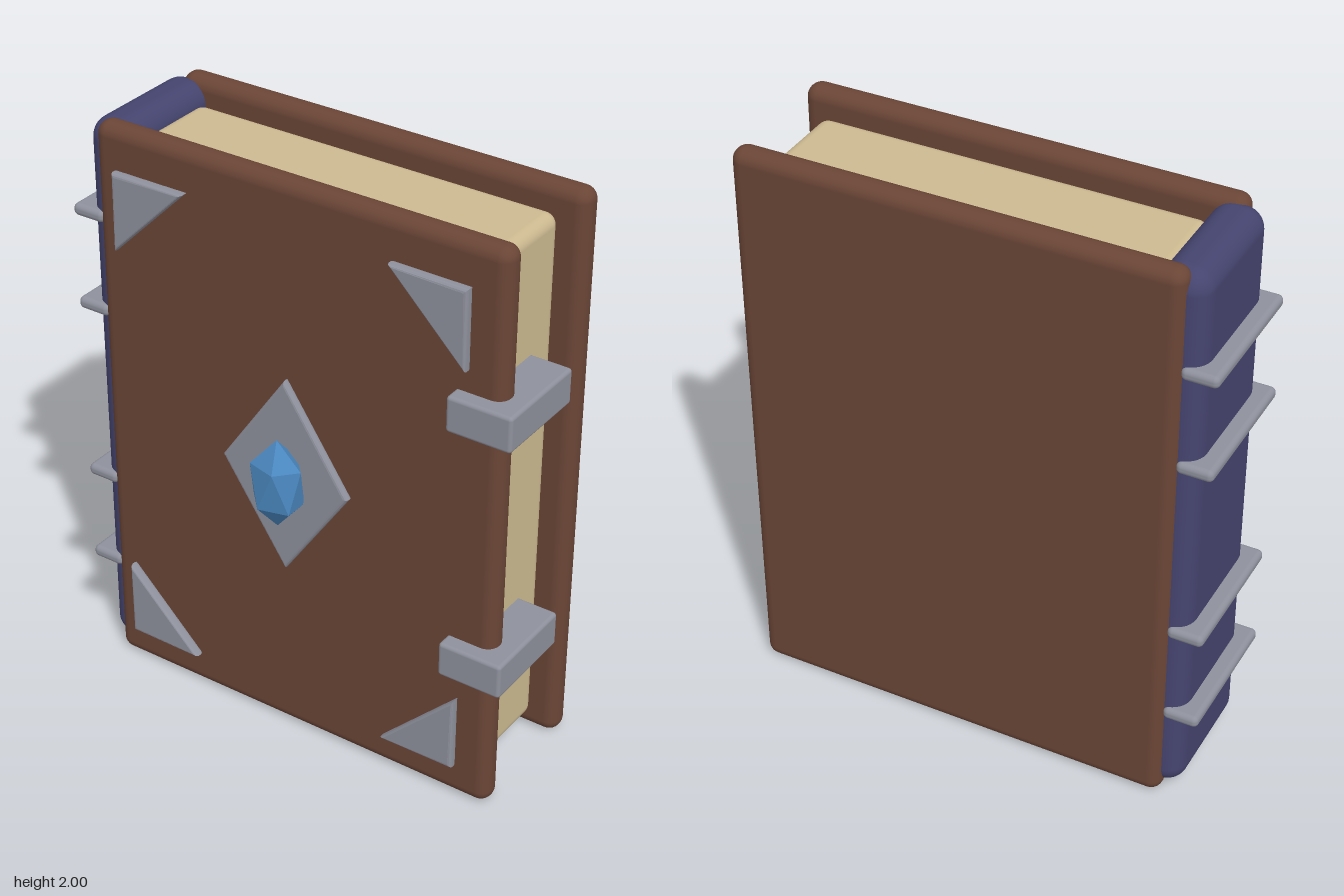
import * as THREE from 'three';
import { RoundedBoxGeometry } from 'three/addons/geometries/RoundedBoxGeometry.js';
import { ConvexGeometry } from 'three/addons/geometries/ConvexGeometry.js';

export function createModel() {
  const model = new THREE.Group();
  model.name = 'spellbook';
  // the closed book stands slightly turned about the vertical axis
  const book = new THREE.Group();
  book.name = 'book';
  book.rotation.y = 0.07;
  model.add(book);

  const mat = (name, color, flatShading = false) => {
    const m = new THREE.MeshStandardMaterial({ color, flatShading });
    m.name = name;
    return m;
  };
  const leather = mat('brown leather', 0x6a4536);
  const cloth = mat('blue spine', 0x45446f);
  const paper = mat('cream paper', 0xccb990);
  const metal = mat('grey metal', 0x8e909c);
  const crystal = mat('blue crystal', 0x4a88bf, true);

  const add = (name, geometry, material, x, y, z) => {
    const mesh = new THREE.Mesh(geometry, material);
    mesh.name = name;
    mesh.position.set(x, y, z);
    book.add(mesh);
    return mesh;
  };
  const box = (name, material, w, h, d, r, x, y, z) =>
    add(name, new RoundedBoxGeometry(w, h, d, 4, r), material, x, y, z);

  // covers, page block and spine
  const mid = -0.05;
  box('frontCover', leather, 1.48, 2, 0.09, 0.043, 0.024, 1, mid + 0.215);
  box('backCover', leather, 1.48, 2, 0.09, 0.043, 0.024, 1, mid - 0.215);
  box('pages', paper, 1.31, 1.85, 0.32, 0.04, 0.03, 1.005, mid);
  box('spine', cloth, 0.165, 1.965, 0.465, 0.07, -0.693, 1.003, mid);

  // raised bands across the spine
  for (const y of [0.35, 0.685, 1.325, 1.66])
    box('spineBand', metal, 0.12, 0.042, 0.49, 0.018, -0.77, y, mid);

  // clasps wrapping from the front cover over the page edge
  for (const y of [0.56, 1.45])
    box('clasp', metal, 0.222, 0.122, 0.346, 0.012, 0.713, y, 0.09);

  // flat plate with softened edges, centred on its thickness
  const plate = (points, thickness) => {
    const bevel = 0.012;
    const shape = new THREE.Shape(points.map(([x, y]) => new THREE.Vector2(x, y)));
    const g = new THREE.ExtrudeGeometry(shape, {
      depth: thickness - 2 * bevel, bevelEnabled: true, bevelThickness: bevel,
      bevelSize: bevel, bevelOffset: -bevel, bevelSegments: 3,
    });
    return g.translate(0, 0, bevel - thickness / 2);
  };

  // triangular corner guards
  const s = 0.27;
  for (const sx of [-1, 1]) {
    for (const sy of [-1, 1]) {
      const pts = [[0, 0], [-sx * s, 0], [0, -sy * s]];
      add('cornerPlate', plate(pts, 0.036), metal, 0.02 + sx * 0.637, 1.005 + sy * 0.865, 0.238);
    }
  }

  // central diamond mount
  const diamond = [[0.236, 0], [0, 0.347], [-0.236, 0], [0, -0.347]];
  add('diamondPlate', plate(diamond, 0.03), metal, 0.02, 1.005, 0.24);

  // gem: two points joined by two staggered five-sided rings
  const gem = [new THREE.Vector3(0, 0.158, 0), new THREE.Vector3(0, -0.158, 0)];
  for (let i = 0; i < 5; i++) {
    const a = (i / 5) * Math.PI * 2;
    const x = 0.09 * Math.cos(a), z = 0.071 * Math.sin(a);
    gem.push(new THREE.Vector3(x, 0.071, z), new THREE.Vector3(-x, -0.071, -z));
  }
  add('gem', new ConvexGeometry(gem), crystal, 0.02, 1.003, 0.29);

  return model;
}
